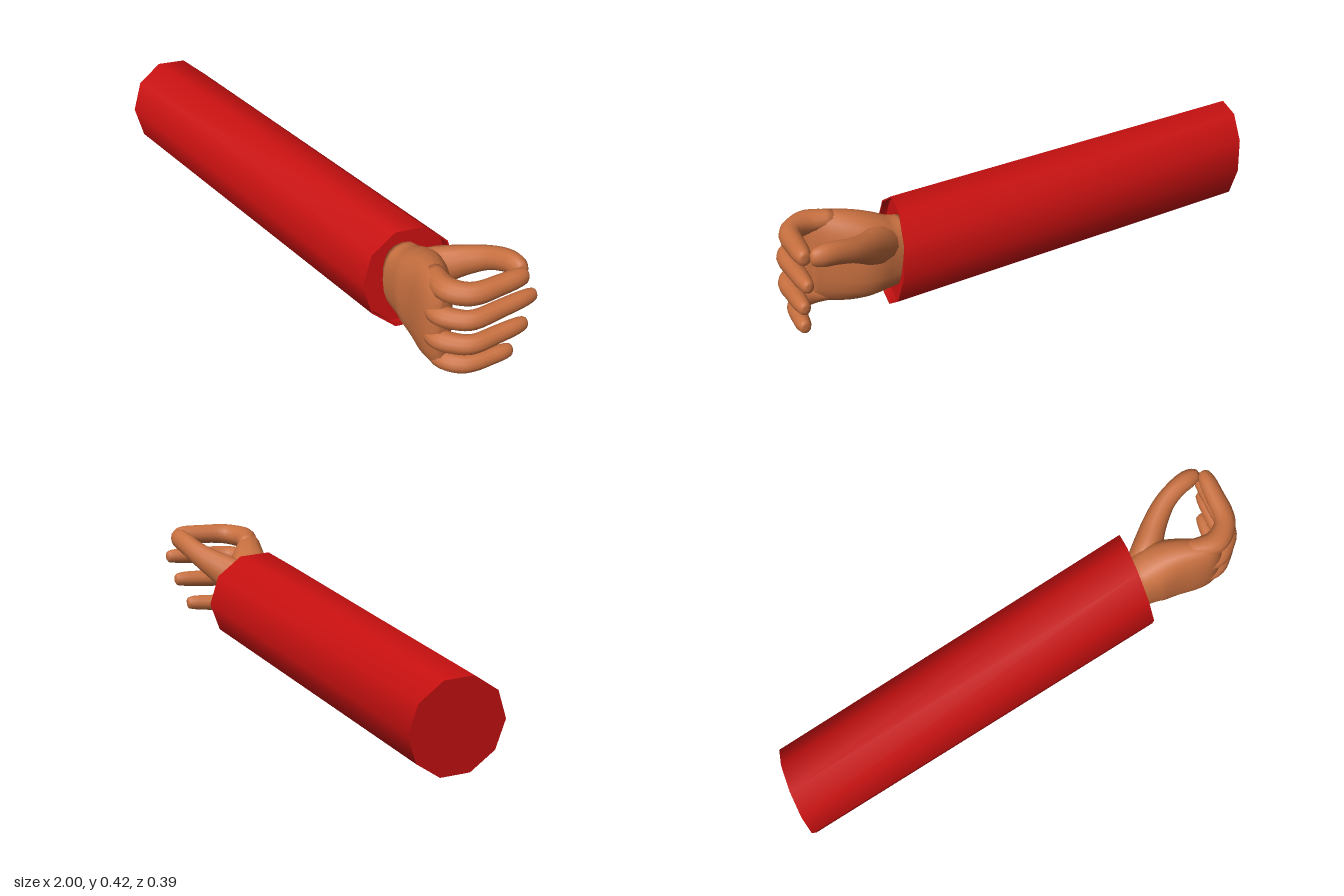
import * as THREE from 'three';
import { toCreasedNormals } from 'three/addons/utils/BufferGeometryUtils.js';

const sleeveMat = new THREE.MeshStandardMaterial({ color: 0xc81010, side: THREE.DoubleSide });
const skinMat = new THREE.MeshStandardMaterial({ color: 0xc87040 });

// Smooth loft through rows of [x, y, z, half width, half height].
// power < 1 makes the cross-section boxier than an ellipse.
function loft(rows, sides, steps, power = 1) {
  const centres = new THREE.CatmullRomCurve3(rows.map(r => new THREE.Vector3(r[0], r[1], r[2])), false, 'catmullrom');
  const radii = new THREE.CatmullRomCurve3(rows.map(r => new THREE.Vector3(r[3], r[4], 0)), false, 'catmullrom');
  const pos = [], index = [];
  const yAxis = new THREE.Vector3(0, 1, 0);
  const bend = v => Math.sign(v) * Math.abs(v) ** power;
  for (let i = 0; i <= steps; i++) {
    const t = i / steps;
    const c = centres.getPoint(t), r = radii.getPoint(t), dir = centres.getTangent(t);
    const side = dir.clone().cross(yAxis).normalize();
    const up = side.clone().cross(dir);
    for (let j = 0; j < sides; j++) {
      const a = j / sides * Math.PI * 2;
      const p = c.clone()
        .addScaledVector(side, bend(Math.cos(a)) * Math.max(r.x, 0.003))
        .addScaledVector(up, bend(Math.sin(a)) * Math.max(r.y, 0.003));
      pos.push(p.x, p.y, p.z);
      if (i < steps) {
        const k = i * sides + j, n = i * sides + (j + 1) % sides;
        index.push(k, k + sides, n, n, k + sides, n + sides);
      }
    }
  }
  // Close both ends with fans
  const first = pos.length / 3, last = first + 1, end = steps * sides;
  pos.push(...centres.getPoint(0).toArray(), ...centres.getPoint(1).toArray());
  for (let j = 0; j < sides; j++) {
    const n = (j + 1) % sides;
    index.push(first, j, n, last, end + n, end + j);
  }
  const g = new THREE.BufferGeometry();
  g.setAttribute('position', new THREE.Float32BufferAttribute(pos, 3));
  g.setIndex(index);
  g.computeVertexNormals();
  return g;
}

// Ten-sided sleeve with slanted ends and a shallow recess at the cuff
function sleeveGeometry() {
  const profile = [[0, 0], [1, 0], [1, 1], [0.97, 1], [0.96, 0.98], [0, 0.98]]
    .map(p => new THREE.Vector2(...p));
  const g = new THREE.LatheGeometry(profile, 10, THREE.MathUtils.degToRad(14));
  const p = g.attributes.position;
  const mix = THREE.MathUtils.lerp;
  for (let i = 0; i < p.count; i++) {
    const t = p.getY(i);
    const z = mix(0, 0.013, t) + p.getX(i) * mix(0.166, 0.18, t);
    const y = mix(0.195, 0.204, t) + p.getZ(i) * mix(0.194, 0.199, t);
    p.setXYZ(i, mix(-0.96, 0.555, t) - 0.24 * z - 0.13 * (y - 0.2), y, z);
  }
  return toCreasedNormals(g, 0.8);
}

export function createModel() {
  const model = new THREE.Group();
  model.name = 'arm';
  const add = (name, geometry, material, parent) => {
    const m = new THREE.Mesh(geometry, material);
    m.name = name;
    parent.add(m);
  };
  add('sleeve', sleeveGeometry(), sleeveMat, model);

  const hand = new THREE.Group();
  hand.name = 'hand';
  model.add(hand);

  // Wrist, palm and knuckles
  add('palm', loft([
    [0.50, 0.200, 0.015, 0.080, 0.130],
    [0.56, 0.200, 0.022, 0.088, 0.140],
    [0.63, 0.207, 0.032, 0.097, 0.162],
    [0.70, 0.213, 0.058, 0.084, 0.178],
    [0.77, 0.217, 0.095, 0.066, 0.183],
    [0.82, 0.217, 0.112, 0.052, 0.178],
    [0.855, 0.217, 0.112, 0.025, 0.155],
  ], 20, 24, 0.82), skinMat, hand);

  // Four fingers curling back: knuckle y, tip y, z shift, tip z, thickness
  const fingers = [
    ['indexFinger', 0.368, 0.384, -0.025, -0.150, 0.042, 0.000],
    ['middleFinger', 0.270, 0.292, 0.000, -0.188, 0.037, 0.010],
    ['ringFinger', 0.166, 0.186, 0.000, -0.152, 0.037, 0.012],
    ['littleFinger', 0.066, 0.080, -0.025, -0.106, 0.035, -0.004],
  ];
  for (const [name, y0, y1, dz, tip, r, dx] of fingers) {
    const y = t => y0 + (y1 - y0) * t;
    const z = t => 0.06 + dz + (tip - 0.06 - dz) * t;
    add(name, loft([
      [0.74, y0, 0.100 + dz, r * 0.8, r * 0.8],
      [0.83, y0, 0.130 + dz, r * 1.1, r],
      [0.895, y(0.1), 0.105 + dz, r, r],
      [0.928 + dx, y(0.3), z(0), r * 0.95, r * 0.97],
      [0.943 + dx, y(0.6), z(0.4), r * 0.88, r * 0.92],
      [0.955 + dx, y(0.9), z(0.75), r * 0.8, r * 0.86],
      [0.960 + dx, y1, z(0.95), r * 0.58, r * 0.68],
      [0.961 + dx, y1, z(1), r * 0.25, r * 0.35],
    ], 12, 28), skinMat, hand);
  }

  // Thumb reaching along the back to meet the index finger
  add('thumb', loft([
    [0.56, 0.250, -0.005, 0.050, 0.060],
    [0.64, 0.285, -0.050, 0.055, 0.070],
    [0.71, 0.322, -0.100, 0.047, 0.056],
    [0.78, 0.355, -0.138, 0.040, 0.045],
    [0.85, 0.378, -0.155, 0.037, 0.043],
    [0.90, 0.384, -0.158, 0.035, 0.041],
    [0.935, 0.384, -0.155, 0.024, 0.030],
    [0.945, 0.384, -0.153, 0.010, 0.014],
  ], 12, 28), skinMat, hand);
  return model;
}
